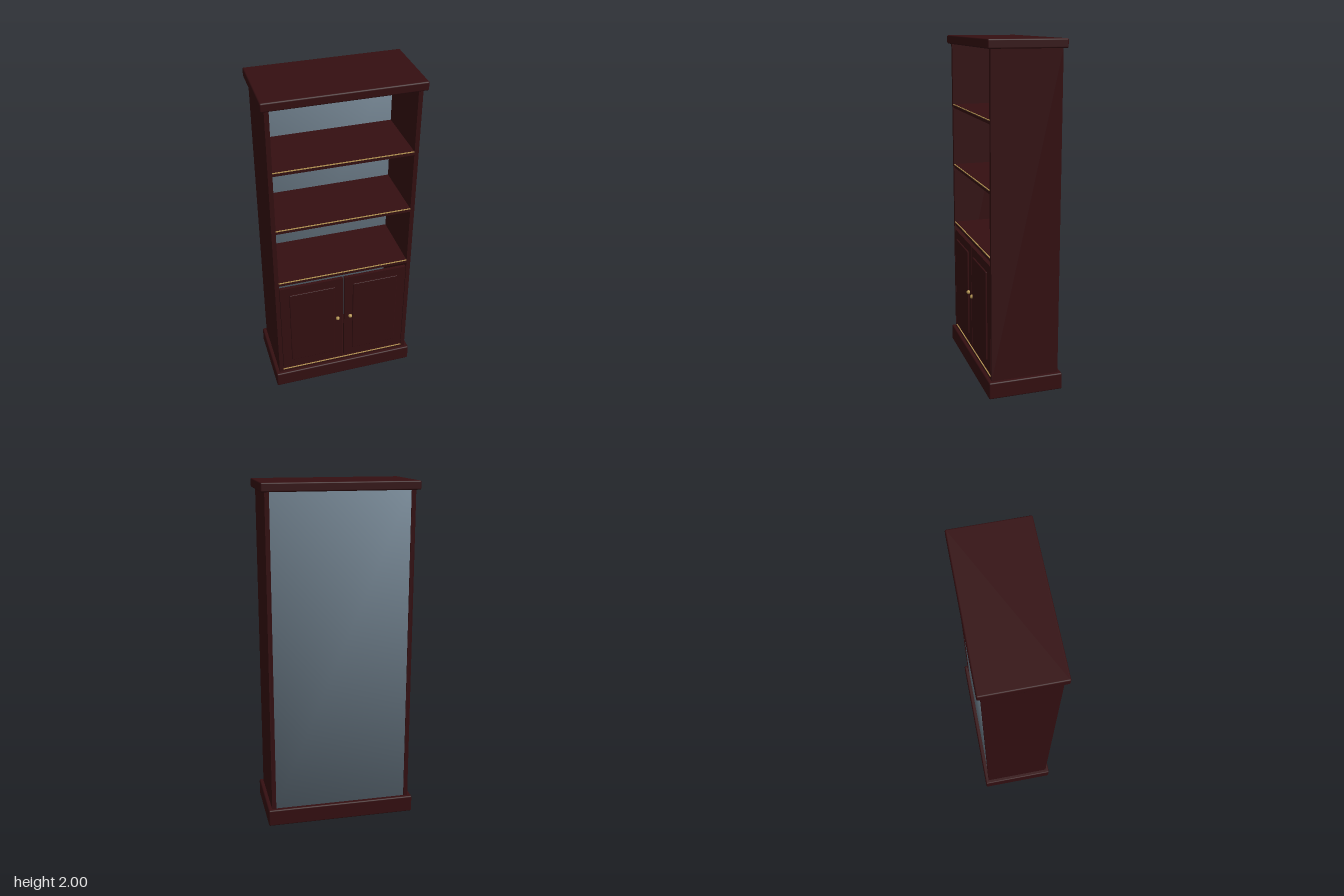
import * as THREE from 'three';
import { mergeVertices } from 'three/addons/utils/BufferGeometryUtils.js';
import { RoundedBoxGeometry } from 'three/addons/geometries/RoundedBoxGeometry.js';

export function createModel() {
  const model = new THREE.Group();
  model.name = 'bookcase';

  const material = (name, color) => {
    const m = new THREE.MeshStandardMaterial({ color });
    m.name = name;
    return m;
  };
  const wood = material('darkMahogany', 0x340f11);
  const backing = material('slateBacking', 0x6f7f8c);
  const brass = material('brass', 0xb39352);

  const add = (name, geometry, mat, x, y, z, parent = model) => {
    const mesh = new THREE.Mesh(geometry, mat);
    mesh.name = name;
    mesh.position.set(x, y, z);
    parent.add(mesh);
    return mesh;
  };
  // Box given by its limits; a radius rounds the edges
  const box = (name, mat, [x0, x1], [y0, y1], [z0, z1], radius = 0, parent = model) => {
    const size = [x1 - x0, y1 - y0, z1 - z0];
    const geometry = radius
      ? new RoundedBoxGeometry(...size, 2, radius)
      : new THREE.BoxGeometry(...size);
    return add(name, geometry, mat, (x0 + x1) / 2, (y0 + y1) / 2, (z0 + z1) / 2, parent);
  };

  // Carcass: plinth, top slab and side panels
  box('plinth', wood, [-0.443, 0.443], [0, 0.1], [-0.221, 0.221], 0.008);
  box('topSlab', wood, [-0.443, 0.443], [1.95, 2], [-0.221, 0.221], 0.008);
  for (const s of [-1, 1]) {
    const xs = [0.395 * s, 0.42 * s].sort((a, b) => a - b);
    box(s > 0 ? 'leftSide' : 'rightSide', wood, xs, [0.098, 1.952], [-0.2, 0.2]);
  }

  // Back panel with soft shared normals at its eight corners
  let panel = new THREE.BoxGeometry(0.79, 1.85, 0.015);
  panel.deleteAttribute('normal');
  panel.deleteAttribute('uv');
  panel = mergeVertices(panel);
  const corners = panel.attributes.position;
  const normals = [];
  for (let i = 0; i < corners.count; i++) {
    const n = new THREE.Vector3().fromBufferAttribute(corners, i);
    n.set(Math.sign(n.x), Math.sign(n.y), Math.sign(n.z)).normalize();
    normals.push(n.x, n.y, n.z);
  }
  panel.setAttribute('normal', new THREE.Float32BufferAttribute(normals, 3));
  add('backPanel', panel, backing, 0, 1.025, -0.188);

  // Shelves with a thin brass line along the upper front edge
  for (const top of [0.12, 0.83, 1.207, 1.584]) {
    const name = top < 0.2 ? 'bottomBoard' : 'shelf';
    box(name, wood, [-0.395, 0.395], [top - 0.022, top], [-0.181, 0.199]);
    box(name + 'Trim', brass, [-0.395, 0.395], [top - 0.003, top + 0.001], [0.196, 0.202]);
  }

  // Pair of doors with raised fields and round knobs
  for (const s of [-1, 1]) {
    const door = new THREE.Group();
    door.name = s > 0 ? 'leftDoor' : 'rightDoor';
    model.add(door);
    const span = (a, b) => (s > 0 ? [a, b] : [-b, -a]);
    box('doorLeaf', wood, span(0.005, 0.392), [0.132, 0.78], [0.18, 0.2], 0, door);
    box('doorField', wood, span(0.057, 0.337), [0.196, 0.728], [0.199, 0.21], 0.003, door);
    const stem = new THREE.CylinderGeometry(0.005, 0.005, 0.012, 12).rotateX(Math.PI / 2);
    add('knobStem', stem, brass, 0.04 * s, 0.475, 0.204, door);
    add('knob', new THREE.SphereGeometry(0.012, 20, 14), brass, 0.04 * s, 0.475, 0.21, door);
  }

  return model;
}
